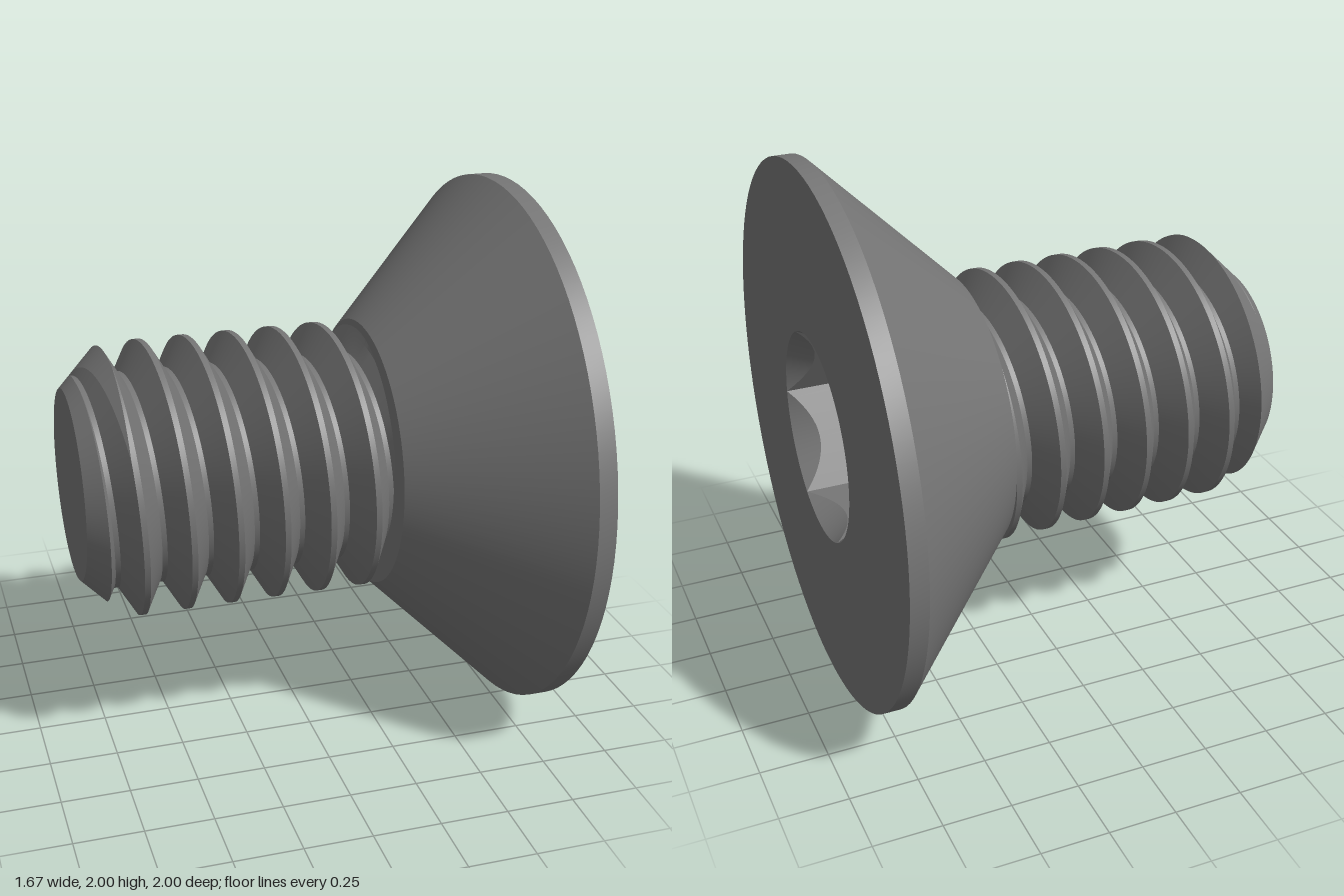
import * as THREE from 'three';
import { toCreasedNormals } from 'three/addons/utils/BufferGeometryUtils.js';

const COLS = 96;
const TIP = -0.833, SEAT = 0.267, FACE = 0.833; // stations along the screw axis (x)
const ROOT = 0.39, CREST = 0.5, PITCH = 1 / 6;
const FLAT = 0.333, CORNER = FLAT / Math.cos(Math.PI / 6);

// Surface around the x axis; profile(angle) returns a list of [x, radius]
function around(profile, crease) {
  const columns = [];
  for (let j = 0; j <= COLS; j++) {
    const a = (j / COLS) * Math.PI * 2;
    const c = Math.cos(a), s = Math.sin(a);
    columns.push(profile(a).map(([x, r]) => new THREE.Vector3(x, r * c, r * s)));
  }
  const positions = [];
  const tri = new THREE.Triangle();
  const add = (p, q, r) => {
    if (tri.set(p, q, r).getArea() < 1e-9) return;
    for (const v of [p, q, r]) positions.push(v.x, v.y, v.z);
  };
  for (let j = 0; j < COLS; j++) {
    const A = columns[j], B = columns[j + 1];
    for (let i = 0; i < A.length - 1; i++) {
      add(A[i], B[i], A[i + 1]);
      add(B[i], B[i + 1], A[i + 1]);
    }
  }
  const geometry = new THREE.BufferGeometry();
  geometry.setAttribute('position', new THREE.Float32BufferAttribute(positions, 3));
  return toCreasedNormals(geometry, crease);
}

// Right-hand helical thread, trimmed by a 45 degree chamfer at the tip
function threadProfile(angle) {
  const half = 0.0105, flank = 0.0635;
  const raw = [];
  for (let k = -7; k <= 1; k++) {
    const c = 0.133 + PITCH * (k + angle / (2 * Math.PI));
    raw.push([c - half - flank, ROOT], [c - half, CREST], [c + half, CREST], [c + half + flank, ROOT]);
  }
  const chamfer = (x) => 0.35 + x - TIP;
  const trim = ([x, r]) => {
    const cx = THREE.MathUtils.clamp(x, TIP, SEAT + 0.013);
    return [cx, Math.min(r, chamfer(cx))];
  };
  const points = [[TIP, 0], [TIP, 0.35]];
  raw.forEach((p, i) => {
    points.push(trim(p));
    const q = raw[i + 1];
    if (!q) return;
    // extra point where this segment meets the chamfer
    const dp = p[1] - chamfer(p[0]), dq = q[1] - chamfer(q[0]);
    const t = dp * dq < 0 ? dp / (dp - dq) : 0.5;
    points.push(trim([p[0] + (q[0] - p[0]) * t, p[1] + (q[1] - p[1]) * t]));
  });
  return points;
}

// Countersunk head: seat ring, cone, rim and front face
const headProfile = () => [
  [SEAT, 0.37], [SEAT, 0.5], [0.767, 1], [FACE, 1], [FACE, CORNER],
];

// Hexagonal socket with a conical lead-in
function socketProfile(angle) {
  const sixth = Math.PI / 3;
  const local = ((angle + sixth / 2) % sixth) - sixth / 2;
  const r = FLAT / Math.cos(local);
  const floor = FACE - 0.41;
  return [[FACE, CORNER], [FACE - (CORNER - r) * 1.73, r], [floor, r], [floor, 0]];
}

export function createModel() {
  const steel = new THREE.MeshStandardMaterial({ color: 0x767676 });
  steel.name = 'dark steel';

  const screw = new THREE.Group();
  screw.name = 'countersunkScrew';
  const part = (name, profile, crease) => {
    const mesh = new THREE.Mesh(around(profile, crease), steel);
    mesh.name = name;
    mesh.position.y = 1;
    screw.add(mesh);
  };
  part('threadedShank', threadProfile, 0.2);
  part('head', headProfile, 0.4);
  part('hexSocket', socketProfile, 0.4);
  return screw;
}
